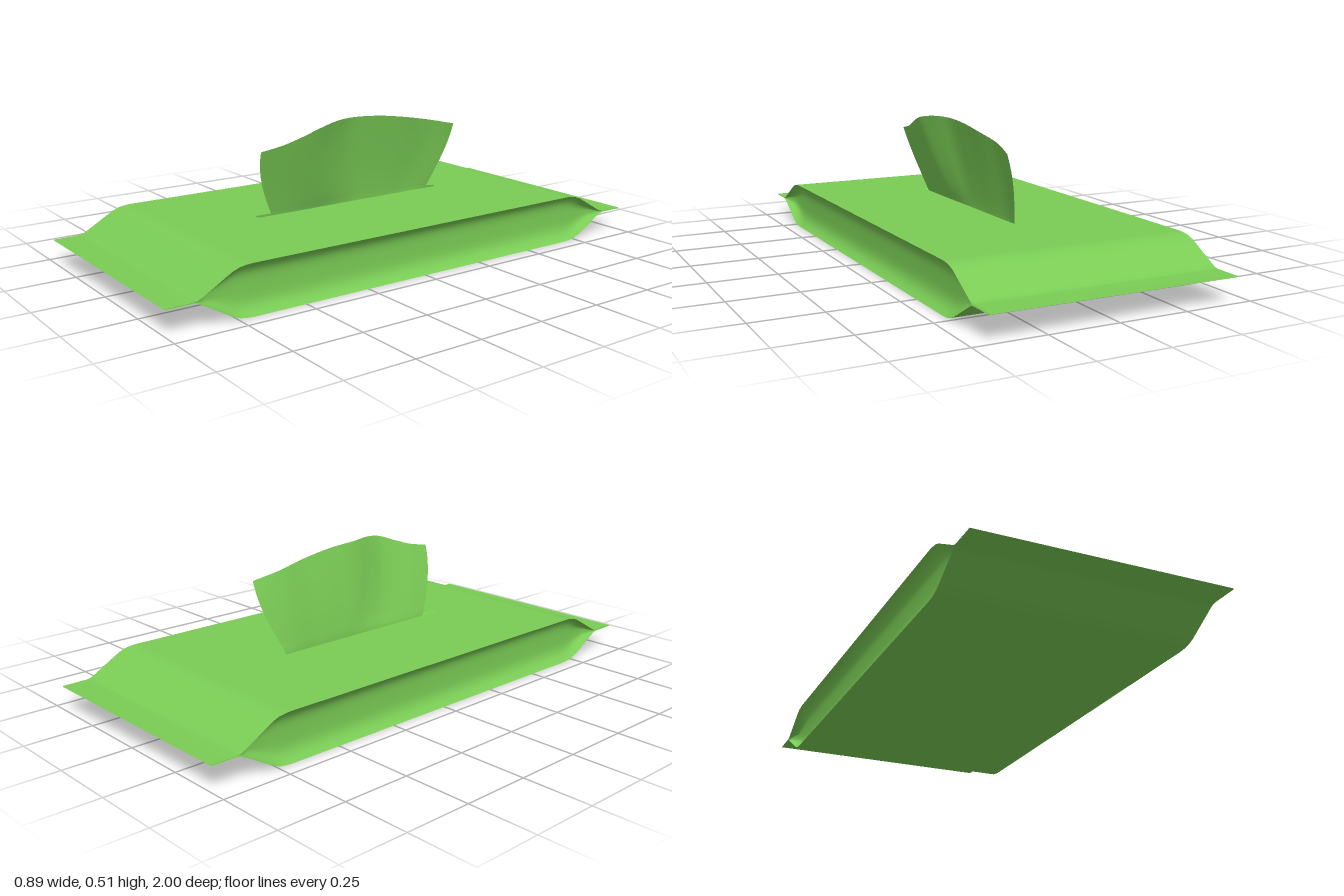
import * as THREE from 'three';

const W = 0.445;          // half width
const MID = 0.09;         // height of the sealed seam
const green = new THREE.MeshStandardMaterial({ color: 0x7acc55, side: THREE.DoubleSide });

// Half thickness of the pack along its length, as [z, half thickness]
const bevel = [[0.6, 0.088], [0.7, 0.088], [0.72, 0.0865], [0.745, 0.0825], [0.77, 0.073],
  [0.8, 0.056], [0.85, 0.027], [0.875, 0.0125], [0.89, 0.005], [0.905, 0.002], [1, 0.0015]];

// Smooth grid surface from a rule (i, j) -> [x, y, z]
function grid(nu, nv, rule) {
  const pos = [], index = [];
  for (let i = 0; i <= nu; i++) for (let j = 0; j <= nv; j++) pos.push(...rule(i, j));
  for (let i = 0; i < nu; i++) for (let j = 0; j < nv; j++) {
    const a = i * (nv + 1) + j, b = a + nv + 1;
    index.push(a, a + 1, b, b, a + 1, b + 1);
  }
  const g = new THREE.BufferGeometry();
  g.setAttribute('position', new THREE.Float32BufferAttribute(pos, 3));
  g.setIndex(index);
  g.computeVertexNormals();
  return g;
}

function add(group, name, geometry) {
  const mesh = new THREE.Mesh(geometry, green);
  mesh.name = name;
  group.add(mesh);
  return mesh;
}

// Flat middle of the top, with the narrow dispensing slit cut out
function topPanel() {
  const s = new THREE.Shape([[-W, -0.6], [W, -0.6], [W, 0.6], [-W, 0.6]].map(p => new THREE.Vector2(...p)));
  const r = 0.013, cx = -0.008, end = 0.4;
  const hole = new THREE.Path();
  hole.absarc(cx, end, r, 0, Math.PI, false);
  hole.absarc(cx, -end, r, Math.PI, Math.PI * 2, false);
  hole.closePath();
  s.holes.push(hole);
  return new THREE.ShapeGeometry(s, 8).rotateX(-Math.PI / 2).translate(0, MID + 0.088, 0);
}

// Tissue sheet: fans out from the slit, leans to +x and ripples along its top edge
function tissue() {
  const curve = pts => new THREE.CatmullRomCurve3(pts.map(p => new THREE.Vector3(p[1], p[2], p[0])));
  const top = curve([[-0.435, 0.078, 0.44], [-0.33, 0.06, 0.463], [-0.2, 0.066, 0.488], [-0.08, 0.066, 0.505],
    [0.04, 0.068, 0.512], [0.13, 0.092, 0.511], [0.21, 0.11, 0.498], [0.29, 0.102, 0.47],
    [0.36, 0.088, 0.447], [0.44, 0.078, 0.432]]);
  const low = 0.15, nu = 60, nv = 20;
  return grid(nu, nv, (i, j) => {
    const t = top.getPoint(i / nu), v = j / nv;
    const h = Math.max(0, (v - 0.08) / 0.92);
    const base = -0.345 + 0.69 * i / nu;
    const bulge = t.x - 0.06;
    return [
      0.003 + 0.057 * Math.pow(h, 1.25) + bulge * Math.pow(h, 0.65),
      low + (t.y - low) * v,
      base + (t.z - base) * Math.pow(Math.sin(v * Math.PI / 2), 1.1),
    ];
  });
}

export function createModel() {
  const model = new THREE.Group();
  const wrapper = new THREE.Group();
  wrapper.name = 'wrapper';
  model.add(wrapper);

  add(wrapper, 'topPanel', topPanel());

  // Sloped ends running out into thin sealed flaps
  for (const end of [1, -1]) {
    for (const up of [1, -1]) {
      add(wrapper, up > 0 ? 'upperEndFlap' : 'lowerEndFlap', grid(bevel.length - 1, 1, (i, j) => {
        const x = (j ? W : -W) * -end * up;
        return [x, MID + up * bevel[i][1], end * bevel[i][0]];
      }));
    }
  }

  // Flat underside
  add(wrapper, 'bottomPanel', grid(1, 1, (i, j) => [j ? W : -W, MID - 0.088, i ? -0.6 : 0.6]));

  // Long sides, folded inwards between the upper and lower rims
  const stations = [...bevel.map(([z, h]) => [-z, h]).reverse(), ...bevel];
  for (const side of [1, -1]) {
    add(wrapper, side > 0 ? 'leftGusset' : 'rightGusset', grid(stations.length - 1, 16, (i, j) => {
      const [z, h] = stations[i];
      const a = -Math.cos(Math.PI * j / 16) * side;
      const depth = 0.035 * Math.min(1, h / 0.03);
      return [side * (W - depth * (1 - a ** 4)), MID + a * h, z];
    }));
  }

  add(model, 'tissue', tissue());
  return model;
}
